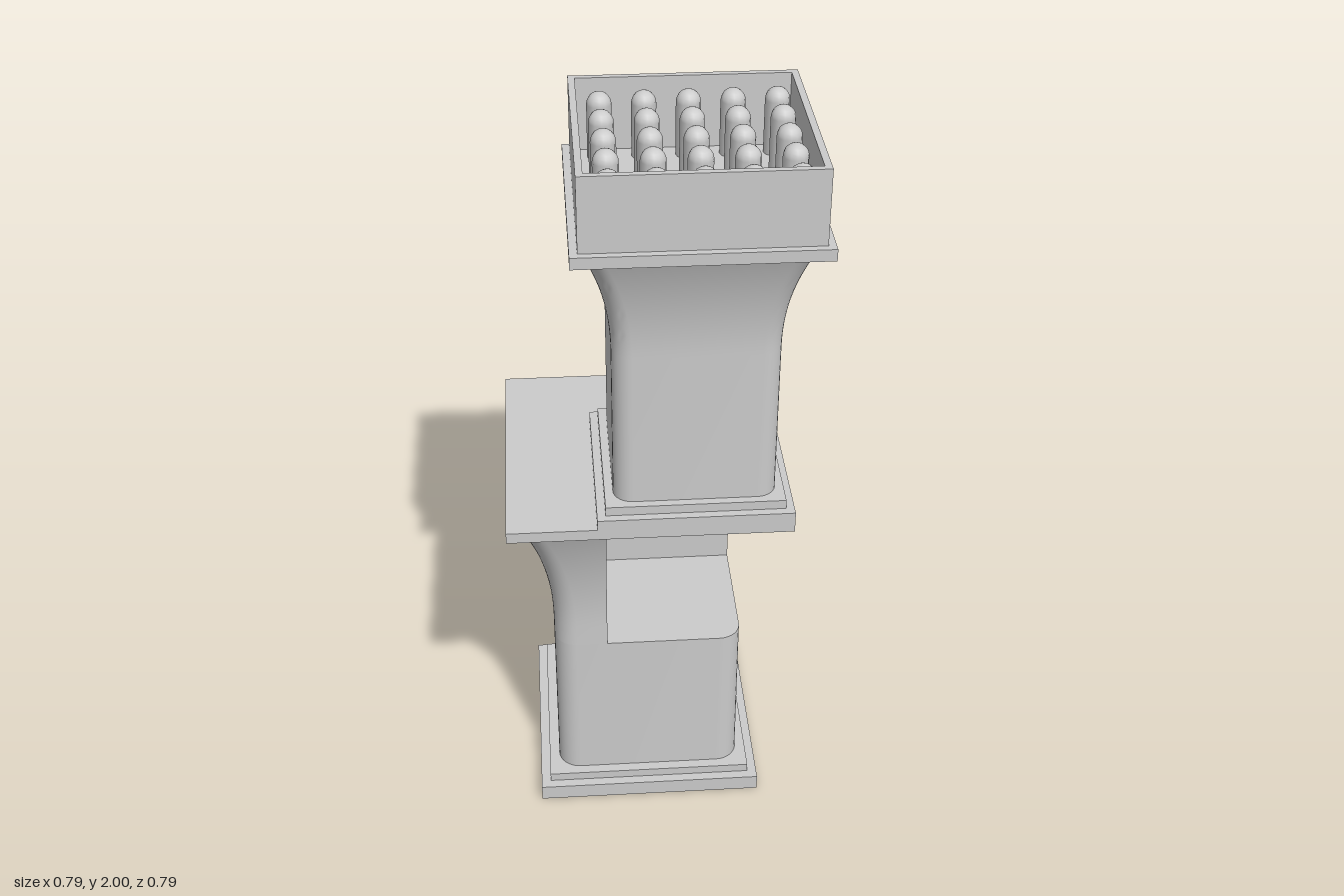
import * as THREE from 'three';
import { toCreasedNormals } from 'three/addons/utils/BufferGeometryUtils.js';

const material = new THREE.MeshStandardMaterial({ color: 0xcccccc });

function add(parent, name, geometry, x = 0, y = 0, z = 0) {
  const mesh = new THREE.Mesh(geometry, material);
  mesh.name = name;
  mesh.position.set(x, y, z);
  parent.add(mesh);
  return mesh;
}

// Square slab given by its half width and its bottom and top heights
function slab(parent, name, half, y0, y1) {
  add(parent, name, new THREE.BoxGeometry(half * 2, y1 - y0, half * 2), 0, (y0 + y1) / 2, 0);
}

// Rounded square in x/z; with a notch, the +x +z corner is cut back to that coordinate
function section(half, radius, notch) {
  const points = [];
  const steps = 8;
  for (let corner = 0; corner < 4; corner++) {
    if (corner === 0 && notch !== undefined) {
      points.push([half, notch], [notch, notch], [notch, half]);
      continue;
    }
    const mid = (corner + 0.5) * Math.PI / 2;
    const cx = Math.sign(Math.cos(mid)) * (half - radius);
    const cz = Math.sign(Math.sin(mid)) * (half - radius);
    for (let i = 0; i <= steps; i++) {
      const a = (corner + i / steps) * Math.PI / 2;
      points.push([cx + radius * Math.cos(a), cz + radius * Math.sin(a)]);
    }
  }
  return points;
}

// Skin stacked sections from bottom to top and close both ends
function loft(levels, radius, notch) {
  const rings = levels.map(([y, half]) => section(half, radius, notch).map(([x, z]) => [x, y, z]));
  const n = rings[0].length;
  const index = [];
  for (let r = 0; r < rings.length - 1; r++) {
    for (let i = 0; i < n; i++) {
      const a = r * n + i;
      const b = r * n + (i + 1) % n;
      index.push(a, a + n, b, b, a + n, b + n);
    }
  }
  for (const r of [0, rings.length - 1]) {
    const outline = rings[r].map(([x, , z]) => new THREE.Vector2(x, z));
    for (const [a, b, c] of THREE.ShapeUtils.triangulateShape(outline, [])) {
      if (r === 0) index.push(a, b, c);
      else index.push(r * n + a, r * n + c, r * n + b);
    }
  }
  const geometry = new THREE.BufferGeometry();
  geometry.setAttribute('position', new THREE.Float32BufferAttribute(rings.flat(2), 3));
  geometry.setIndex(index);
  return toCreasedNormals(geometry, 0.5);
}

// Heights and half widths of a straight shaft that sweeps outward at the top
function flare(y0, yStart, y1, half, spread) {
  const levels = [[y0, half]];
  for (let i = 0; i <= 14; i++) {
    const t = i / 14;
    levels.push([yStart + (y1 - yStart) * t, half + spread * t * t]);
  }
  return levels;
}

function createLowerPillar() {
  const pillar = new THREE.Group();
  pillar.name = 'lowerPillar';
  pillar.position.set(-0.028, 0, -0.028);
  slab(pillar, 'lowerPlinth', 0.31, 0, 0.045);
  slab(pillar, 'lowerPlinthStep', 0.284, 0.045, 0.07);
  add(pillar, 'lowerShaft', loft([[0.07, 0.256], [0.53, 0.256]], 0.06));
  // Flared capital with one corner cut away as a niche
  add(pillar, 'notchedCapital', loft(flare(0.53, 0.59, 0.975, 0.256, 0.085), 0.06, -0.112));
  slab(pillar, 'lowerTopSlab', 0.368, 0.975, 1.005);
  return pillar;
}

function createUpperPillar() {
  const pillar = new THREE.Group();
  pillar.name = 'upperPillar';
  pillar.position.set(0.088, 0, 0.088);
  slab(pillar, 'upperPlinth', 0.252, 1.005, 1.033);
  slab(pillar, 'upperPlinthStep', 0.23, 1.033, 1.058);
  add(pillar, 'upperShaft', loft(flare(1.058, 1.48, 1.78, 0.208, 0.067), 0.05));
  slab(pillar, 'upperTopSlab', 0.304, 1.78, 1.81);

  // Open tray rim
  const outer = 0.285;
  const inner = 0.268;
  const square = (h, Type) => new Type([
    new THREE.Vector2(-h, -h), new THREE.Vector2(h, -h),
    new THREE.Vector2(h, h), new THREE.Vector2(-h, h),
  ]);
  const rim = square(outer, THREE.Shape);
  rim.holes.push(square(inner, THREE.Path));
  const rimGeometry = new THREE.ExtrudeGeometry(rim, { depth: 0.19, bevelEnabled: false });
  rimGeometry.rotateX(-Math.PI / 2);
  add(pillar, 'trayRim', rimGeometry, 0, 1.81, 0);

  // Five by five round-topped pegs
  const pegProfile = [new THREE.Vector2(0.031, 0)];
  for (let i = 0; i <= 6; i++) {
    const a = i / 6 * Math.PI / 2;
    pegProfile.push(new THREE.Vector2(0.031 * Math.cos(a), 0.14 + 0.031 * Math.sin(a)));
  }
  const pegGeometry = new THREE.LatheGeometry(pegProfile, 12);
  const pegs = new THREE.Group();
  pegs.name = 'pegs';
  pegs.position.set(0.009, 1.81, -0.006);
  for (let i = -2; i <= 2; i++) {
    for (let j = -2; j <= 2; j++) add(pegs, 'peg', pegGeometry, i * 0.11, 0, j * 0.11);
  }
  pillar.add(pegs);
  return pillar;
}

export function createModel() {
  const model = new THREE.Group();
  model.name = 'stackedPillars';
  model.add(createLowerPillar(), createUpperPillar());
  return model;
}
